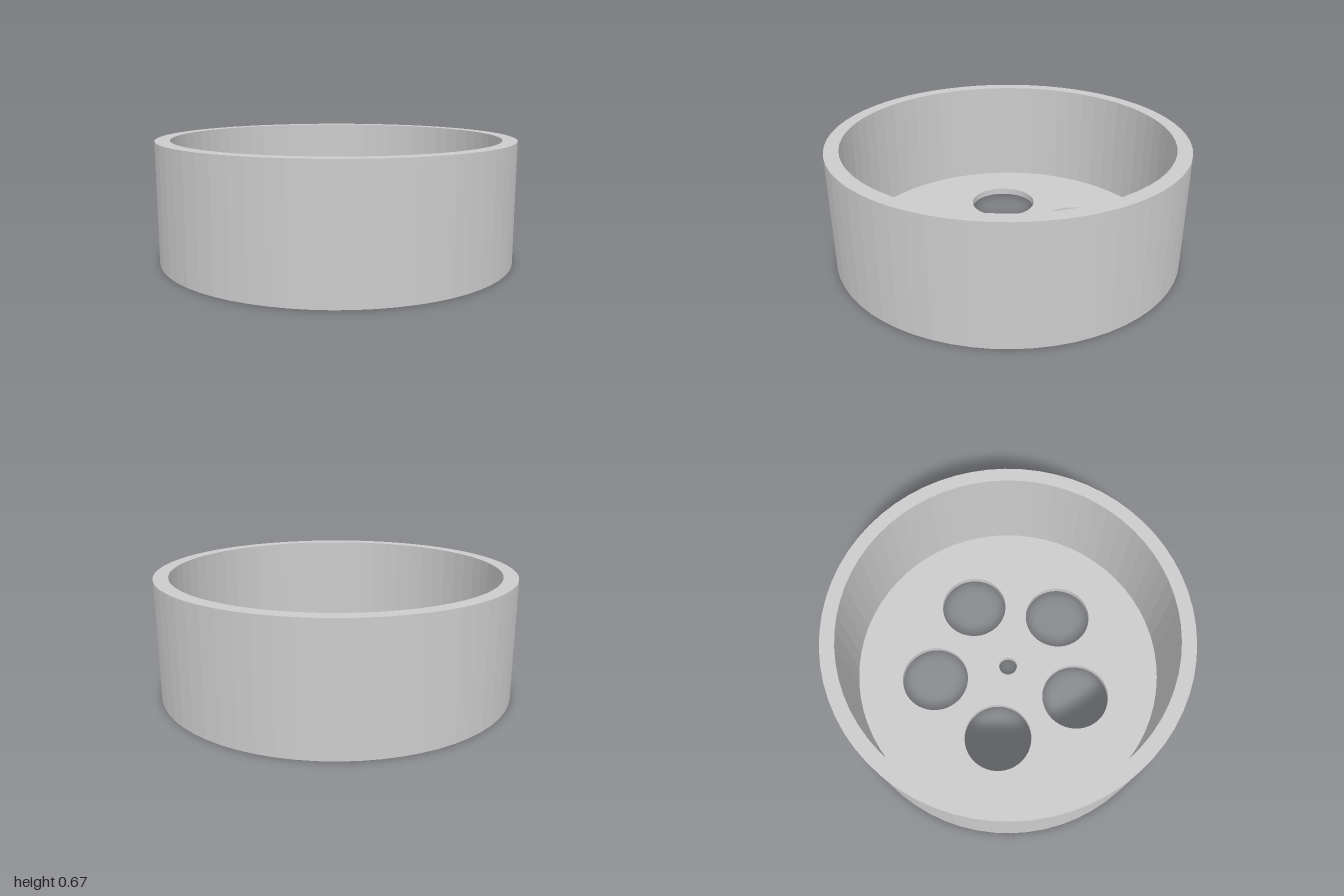
import * as THREE from 'three';

const OUTER = 1, INNER = 0.92, HEIGHT = 0.67, FLOOR = 0.04;
const SIDES = 64;

function circle(PathType, x, y, radius) {
  const path = new PathType();
  path.absarc(x, y, radius, 0, Math.PI * 2, false);
  return path;
}

export function createModel() {
  const group = new THREE.Group();
  group.name = 'wheelCup';
  const material = new THREE.MeshStandardMaterial({ color: 0xcccccc, flatShading: true });

  // Cylindrical wall: underside edge, outside, rim, inside down to the floor
  const profile = [
    [INNER, 0], [OUTER, 0], [OUTER, HEIGHT], [INNER, HEIGHT], [INNER, FLOOR],
  ].map(([r, y]) => new THREE.Vector2(r, y));
  const wall = new THREE.Mesh(new THREE.LatheGeometry(profile, SIDES), material);
  wall.name = 'wall';
  group.add(wall);

  // Thin floor with a centre bore and five round openings
  const disc = circle(THREE.Shape, 0, 0, INNER);
  disc.holes.push(circle(THREE.Path, 0, 0, 0.055));
  for (let i = 0; i < 5; i++) {
    const angle = THREE.MathUtils.degToRad(93.8 + i * 72);
    disc.holes.push(circle(THREE.Path, 0.454 * Math.cos(angle), 0.454 * Math.sin(angle), 0.2));
  }
  const floorGeometry = new THREE.ExtrudeGeometry(disc, {
    depth: FLOOR, bevelEnabled: false, curveSegments: SIDES / 2,
  });
  floorGeometry.rotateX(-Math.PI / 2);
  const floor = new THREE.Mesh(floorGeometry, material);
  floor.name = 'floor';
  group.add(floor);

  return group;
}
